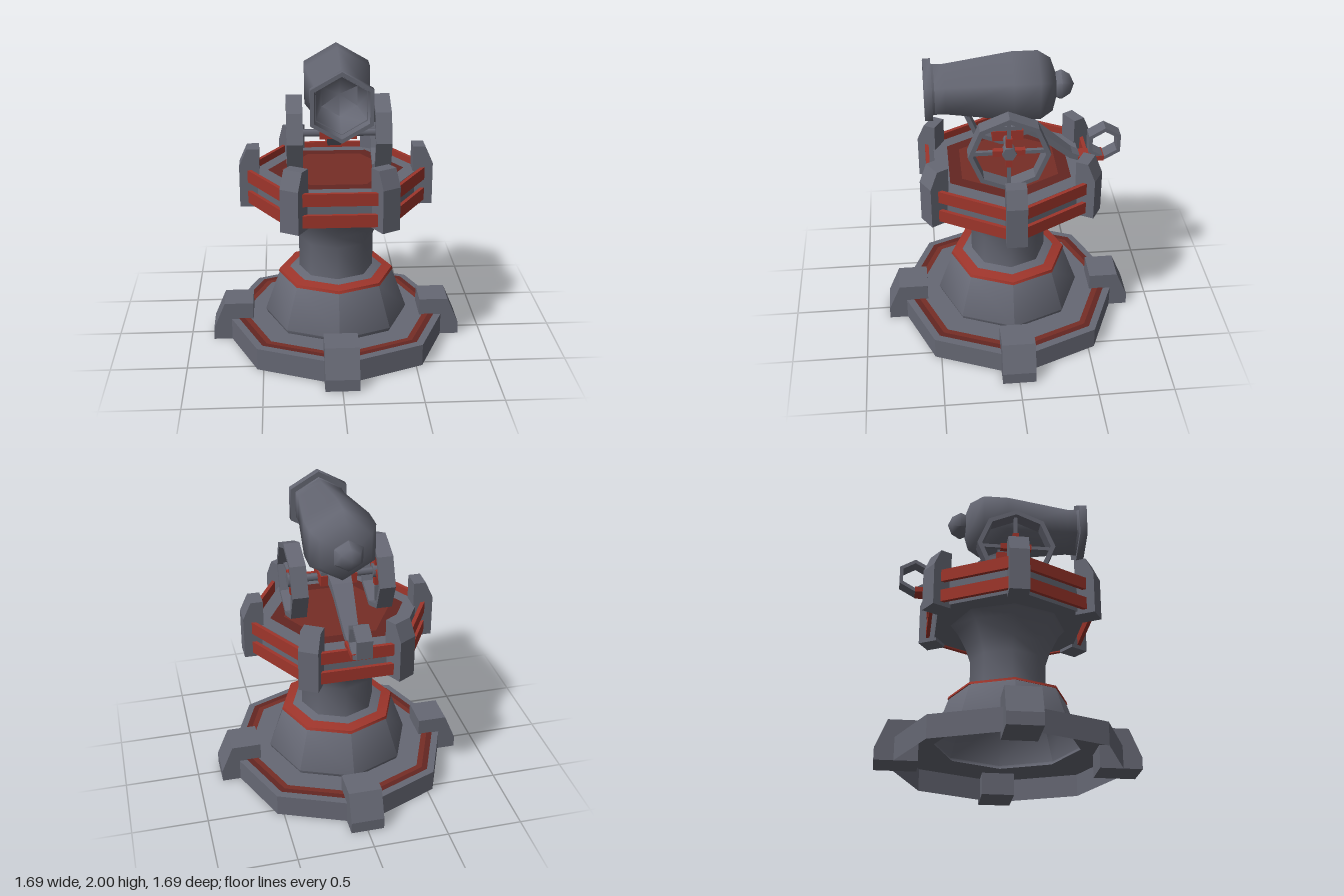
import * as THREE from 'three';
import { toCreasedNormals } from 'three/addons/utils/BufferGeometryUtils.js';

const paint = (name, color) => {
  const m = new THREE.MeshStandardMaterial({ color, side: THREE.DoubleSide });
  m.name = name;
  return m;
};

export function createModel() {
  const steel = paint('steel grey', 0x666874);
  const red = paint('red', 0x9e352b);
  const darkRed = paint('dark red', 0x762d26);
  const deepRed = paint('deep red', 0x632622);
  const model = new THREE.Group();
  model.name = 'cannonTower';

  const add = (name, geo, mat, x = 0, y = 0, z = 0, parent = model) => {
    const mesh = new THREE.Mesh(geo, mat);
    mesh.name = name;
    mesh.position.set(x, y, z);
    parent.add(mesh);
    return mesh;
  };
  // Faceted turning of [radius, height] points; edges under the crease angle are smooth
  const turn = (pts, sides, crease = 0.5, start = 0) => toCreasedNormals(
    new THREE.LatheGeometry(pts.map(p => new THREE.Vector2(...p)), sides, start), crease);
  const ring = (inner, outer, half, sides, start = 0) => turn(
    [[inner, -half], [outer, -half], [outer, half], [inner, half], [inner, -half]], sides, 0.5, start);
  // Side outline extruded to a centred width
  const slab = (pts, width) => {
    const geo = new THREE.ExtrudeGeometry(new THREE.Shape(pts.map(p => new THREE.Vector2(...p))),
      { depth: width, bevelEnabled: false });
    return geo.translate(0, 0, -width / 2);
  };
  const box = (w, h, d) => new THREE.BoxGeometry(w, h, d);

  // Octagonal foot, open underneath
  add('foot', turn([[0.765, 0], [0.765, 0.15], [0.47, 0.15]], 8), steel);
  add('footStripeOuter', turn([[0.715, 0.154], [0.675, 0.154]], 8), deepRed);
  add('footStripeInner', turn([[0.675, 0.154], [0.635, 0.154]], 8), darkRed);
  const clampOutline = [[0.57, 0], [0.843, 0], [0.843, 0.08], [0.765, 0.265], [0.57, 0.265]];
  for (let i = 0; i < 4; i++) {
    add('footClamp', slab(clampOutline, 0.22), steel).rotation.y = i * Math.PI / 2;
  }

  // Bell and flared column
  add('bell', turn([[0.475, 0.15], [0.485, 0.175], [0.385, 0.455], [0.36, 0.468], [0.25, 0.498]], 8, 0.9), steel);
  add('bellBand', turn([[0.392, 0.456], [0.385, 0.474], [0.315, 0.488]], 8, 0.9), red);
  add('column', turn([[0.25, 0.49], [0.25, 0.72], [0.28, 0.81], [0.34, 0.93], [0.385, 0.982]], 8, 0.9), steel);

  // Hexagonal platform with a red floor
  const q = Math.PI / 2;
  add('platform', turn([[0, 0.98], [0.555, 0.98], [0.555, 1.185], [0, 1.185]], 6, 0.5, q), steel);
  add('floorBorder', turn([[0.45, 1.19], [0.36, 1.19]], 6, 0.5, q), deepRed);
  add('floor', turn([[0.36, 1.19], [0, 1.19]], 6, 0.5, q), darkRed);

  // Posts on the corners, rails along the edges
  const postOutline = [[0.505, 0.957], [0.637, 0.957], [0.637, 1.24], [0.585, 1.355], [0.505, 1.355]];
  for (let i = 0; i < 6; i++) {
    add('post', slab(postOutline, 0.13), steel).rotation.y = i * Math.PI / 3;
    const side = new THREE.Group();
    side.name = 'railPair';
    side.rotation.y = i * Math.PI / 3;
    model.add(side);
    for (const y of [1.027, 1.17]) add('rail', box(0.6, 0.083, 0.025), red, 0, y, 0.525, side);
  }

  // Cannon on its carriage
  const cannon = new THREE.Group();
  cannon.name = 'cannon';
  cannon.position.x = 0.01;
  model.add(cannon);
  const barrel = turn([[0, -0.305], [0.085, -0.3], [0.19, -0.265], [0.245, -0.185], [0.245, -0.02],
    [0.18, 0.4], [0.18, 0.48], [0.222, 0.48], [0.222, 0.53], [0.195, 0.53], [0.13, 0.25], [0, 0.2]], 6, 1.15);
  add('barrel', barrel.rotateX(q), steel, 0, 1.755, 0, cannon);
  const knob = turn([[0, -0.42], [0.07, -0.39], [0.105, -0.335], [0.085, -0.295]], 6, 1.15);
  add('barrelKnob', knob.rotateX(q), steel, 0, 1.755, 0, cannon);

  add('axle', new THREE.CylinderGeometry(0.025, 0.025, 0.6, 6).rotateZ(q), steel, 0, 1.447, 0.02, cannon);
  add('carriageBlock', box(0.24, 0.07, 0.2), red, 0, 1.465, 0.01, cannon);
  add('carriagePlate', box(0.23, 0.027, 0.18), steel, 0, 1.514, 0.01, cannon);

  // Eight-sided wheels with red-rooted spokes
  for (const s of [-1, 1]) {
    const wheel = new THREE.Group();
    wheel.name = 'wheel';
    wheel.position.set(s * 0.283, 1.447, 0.02);
    cannon.add(wheel);
    add('rim', ring(0.228, 0.26, 0.052, 8).rotateZ(q), steel, 0, 0, 0, wheel);
    add('hub', new THREE.CylinderGeometry(0.047, 0.047, 0.07, 6).rotateZ(q), steel, 0, 0, 0, wheel);
    for (let i = 0; i < 4; i++) {
      const arm = new THREE.Group();
      arm.name = 'spokeArm';
      arm.rotation.x = i * q;
      wheel.add(arm);
      add('spoke', box(0.026, 0.2, 0.024), steel, 0, 0.14, 0, arm);
      add('spokeRoot', box(0.04, 0.065, 0.04), red, 0, 0.07, 0, arm);
    }
  }

  // Trail beam, narrowing to the rear
  const trail = slab([[0.06, 1.44], [0.06, 1.52], [-0.06, 1.525], [-0.17, 1.48], [-0.42, 1.265],
    [-0.47, 1.24], [-0.47, 1.2], [-0.4, 1.23], [-0.21, 1.39], [-0.12, 1.44]], 1).rotateY(-q);
  const p = trail.attributes.position;
  for (let i = 0; i < p.count; i++) p.setX(i, p.getX(i) * (0.165 + 0.17 * Math.min(0, p.getZ(i))));
  trail.computeVertexNormals();
  add('trail', trail, steel, 0, 0, 0, cannon);
  add('trailCoupling', box(0.11, 0.035, 0.17), red, 0, 1.217, -0.545, cannon);
  add('towRing', ring(0.093, 0.12, 0.05, 6, q).rotateZ(q), steel, 0, 1.322, -0.632, cannon);

  return model;
}
